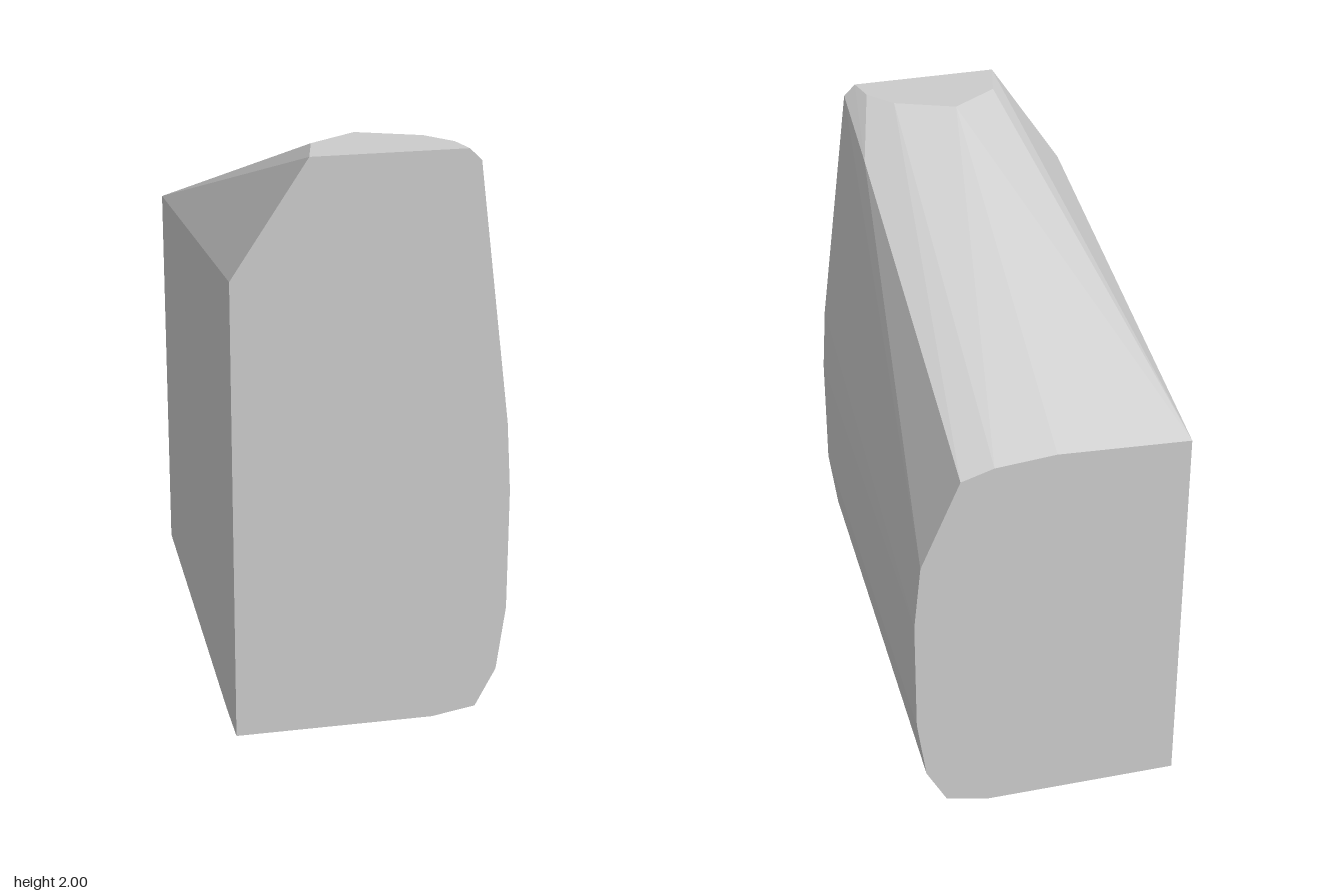
import * as THREE from 'three';
import { ConvexGeometry } from 'three/addons/geometries/ConvexGeometry.js';

export function createModel() {
  const group = new THREE.Group();
  group.name = 'facetedBlock';
  const stone = new THREE.MeshStandardMaterial({ color: 0xcccccc });
  stone.name = 'pale grey';

  const points = [];
  const add = (z, profile) => profile.forEach(([x, y]) => points.push(new THREE.Vector3(x, y, z)));

  // Rounded flank shared by the front and back faces
  const flank = [[0.46, 0.83], [0.46, 0.4], [0.43, 0.17], [0.36, 0.035]];

  // Tall front face with a cut corner
  add(0.81, [[-0.463, 0.012], [-0.463, 1.615], [-0.21, 2], [0.295, 2], [0.335, 1.96],
    [0.445, 1.07], ...flank, [0.21, 0.01]]);

  // Lower back face
  add(-0.81, [[-0.463, 0], [-0.463, 1.42], [-0.015, 1.443], [0.19, 1.425], [0.3, 1.39],
    [0.435, 1.07], ...flank, [0.21, 0]]);

  // Small flat summit, the shoulder beside it and the underside bevel
  const edges = [[-0.175, 2, 0.655], [-0.015, 2, 0.55], [0.19, 2, 0.63], [0.27, 2, 0.72],
    [0.333, 1.872, 0.465], [-0.463, 0, 0.6], [0.21, 0, 0.6]];
  edges.forEach((p) => points.push(new THREE.Vector3(...p)));

  const block = new THREE.Mesh(new ConvexGeometry(points), stone);
  block.name = 'block';
  group.add(block);
  return group;
}
